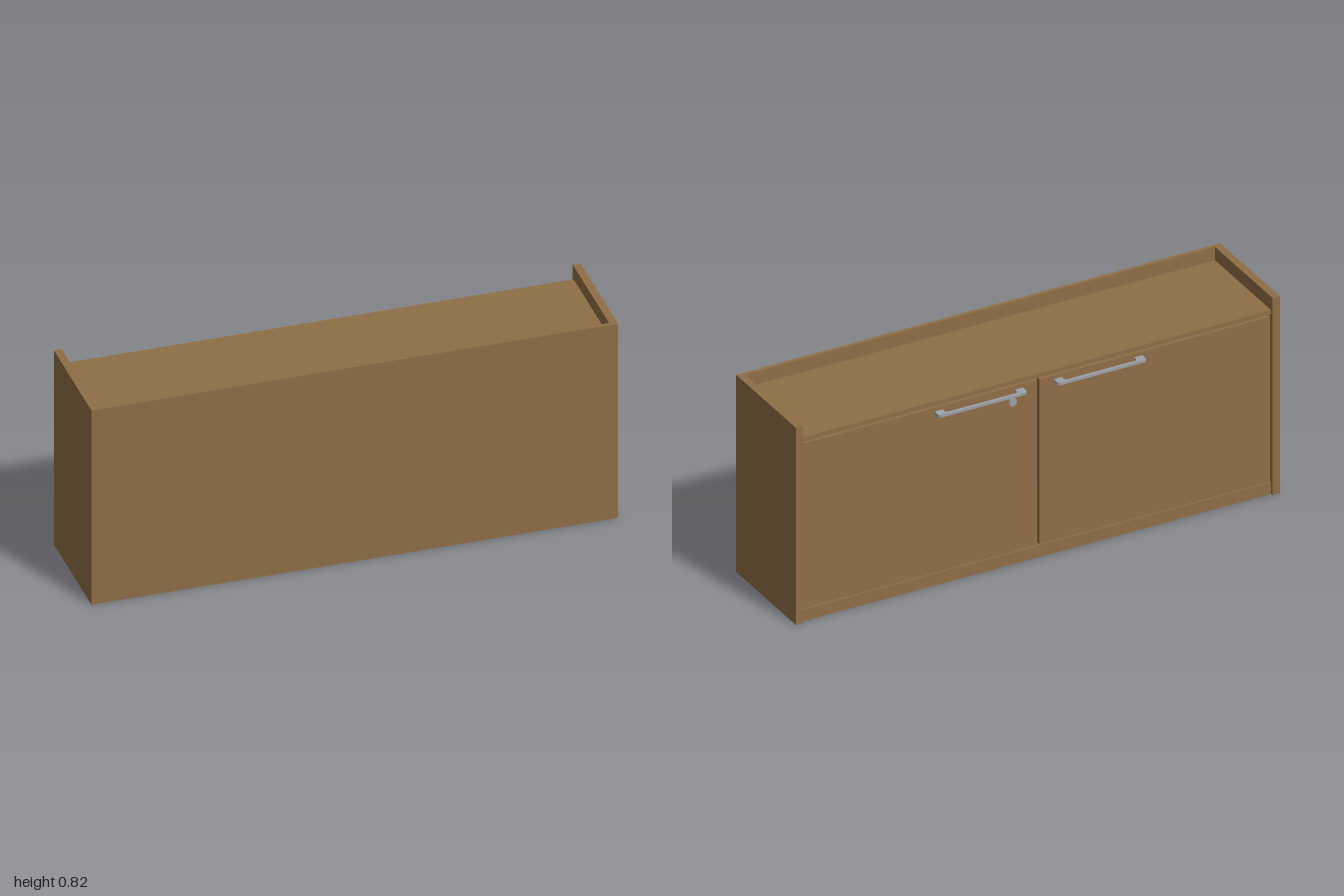
import * as THREE from 'three';

export function createModel() {
  const model = new THREE.Group();
  model.name = 'sideboard';

  const wood = new THREE.MeshStandardMaterial({ color: 0x8f6e46 });
  wood.name = 'brown wood';
  const metal = new THREE.MeshStandardMaterial({ color: 0x9da2a8 });
  metal.name = 'grey metal';

  // Board given by its extents along x, y and z
  function board(name, [x0, x1], [y0, y1], [z0, z1]) {
    const mesh = new THREE.Mesh(new THREE.BoxGeometry(x1 - x0, y1 - y0, z1 - z0), wood);
    mesh.position.set((x0 + x1) / 2, (y0 + y1) / 2, (z0 + z1) / 2);
    mesh.name = name;
    model.add(mesh);
  }

  const H = 0.818, inner = 0.97, back = -0.2, panel = 0.22;

  // Carcass: the raised sides and front panel frame a sunken top
  board('leftSide', [inner, 1], [0, H], [-0.211, panel]);
  board('rightSide', [-1, -inner], [0, H], [-0.211, panel]);
  board('frontPanel', [-1, 1], [0, H], [panel, 0.235]);
  board('topBoard', [-inner, inner], [0.745, 0.763], [back, panel]);
  board('base', [-inner, inner], [0, 0.048], [back, panel]);

  // Doors on the back, with narrow gaps around them
  const doorY = [0.053, 0.737], doorZ = [back, back + 0.018];
  board('leftDoor', [0, inner - 0.004], doorY, doorZ);
  board('rightDoor', [-inner + 0.004, -0.012], doorY, doorZ);

  // Bow handle: outline in plan, extruded upward
  const w = 0.183, d = 0.035, foot = 0.034, grip = 0.011;
  const outline = new THREE.Shape([
    [-w, 0], [-w + foot, 0], [-w + foot, d - grip - 0.006], [-w + foot + 0.006, d - grip],
    [w - foot - 0.006, d - grip], [w - foot, d - grip - 0.006], [w - foot, 0], [w, 0],
    [w, d - 0.008], [w - 0.008, d], [-w + 0.008, d], [-w, d - 0.008],
  ].map(([x, y]) => new THREE.Vector2(x, y)));
  const handleGeometry = new THREE.ExtrudeGeometry(outline, { depth: 0.011, bevelEnabled: false });
  handleGeometry.rotateX(-Math.PI / 2);
  for (const [name, x] of [['leftHandle', 0.238], ['rightHandle', -0.254]]) {
    const handle = new THREE.Mesh(handleGeometry, metal);
    handle.position.set(x, 0.711, back);
    handle.name = name;
    model.add(handle);
  }

  // Round lock below the left handle
  const lock = new THREE.Mesh(new THREE.CylinderGeometry(0.016, 0.016, 0.008, 24), metal);
  lock.rotation.x = Math.PI / 2;
  lock.position.set(0.1, 0.676, back - 0.004);
  lock.name = 'lock';
  model.add(lock);

  return model;
}
